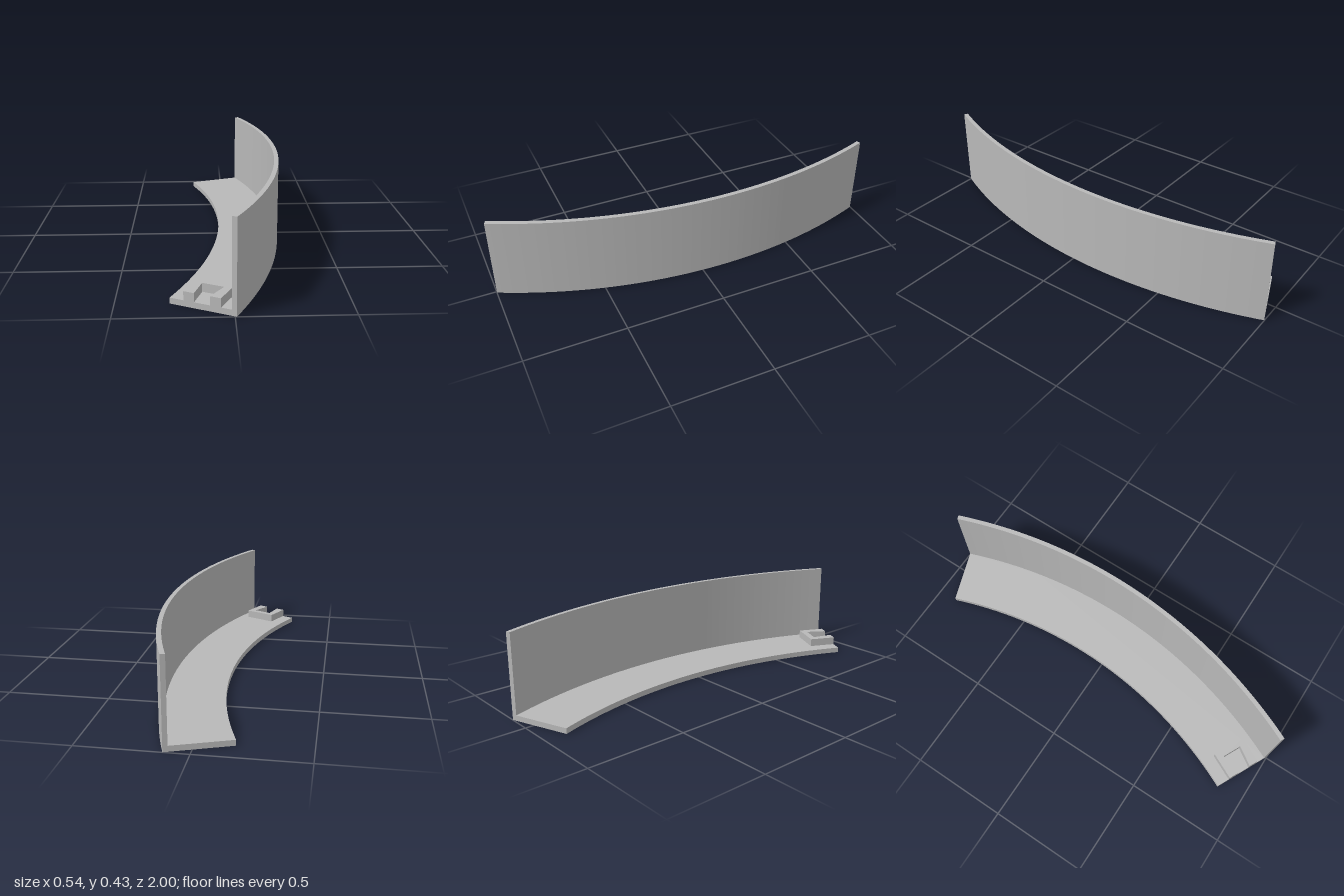
import * as THREE from 'three';

const deg = Math.PI / 180;
const CX = -2.271, CZ = -0.126;              // arc centre on the ground plane
const R_IN = 2.234, R_WALL = 2.519, R_OUT = 2.541;
const BACK = 20.1 * deg, FRONT = -26.3 * deg; // end angles, positive towards the back
const FLOOR = 0.027, WALL = 0.425, CLIP = 0.041;

const grey = new THREE.MeshStandardMaterial({ color: 0xb8b8b8 });
grey.name = 'grey';

// Extrude a plan shape (shape y = -z) upwards from the given base height
function upright(name, shape, base, height) {
  const geo = new THREE.ExtrudeGeometry(shape, { depth: height, bevelEnabled: false, curveSegments: 40 });
  geo.rotateX(-Math.PI / 2).translate(0, base, 0);
  const mesh = new THREE.Mesh(geo, grey);
  mesh.name = name;
  return mesh;
}

// Curved band between two radii
function band(r0, r1) {
  const s = new THREE.Shape();
  s.absarc(CX, -CZ, r1, FRONT, BACK, false);
  s.absarc(CX, -CZ, r0, BACK, FRONT, true);
  s.closePath();
  return s;
}

export function createModel() {
  const group = new THREE.Group();
  group.name = 'curvedWallSegment';

  group.add(upright('floor', band(R_IN, R_WALL), 0, FLOOR));
  group.add(upright('wall', band(R_WALL, R_OUT), 0, WALL));

  // U-shaped clip at the front end, with a socket that widens inwards:
  // [radius, distance in from the end face]
  const outline = [
    [2.299, 0], [2.348, 0], [2.333, 0.109], [2.4355, 0.109],
    [2.4205, 0], [2.470, 0], [2.470, 0.141], [2.299, 0.141],
  ];
  const c = Math.cos(FRONT), s = Math.sin(FRONT);
  const points = outline.map(([u, v]) => new THREE.Vector2(CX + u * c - v * s, -CZ + u * s + v * c));
  group.add(upright('clip', new THREE.Shape(points), FLOOR, CLIP));

  return group;
}
